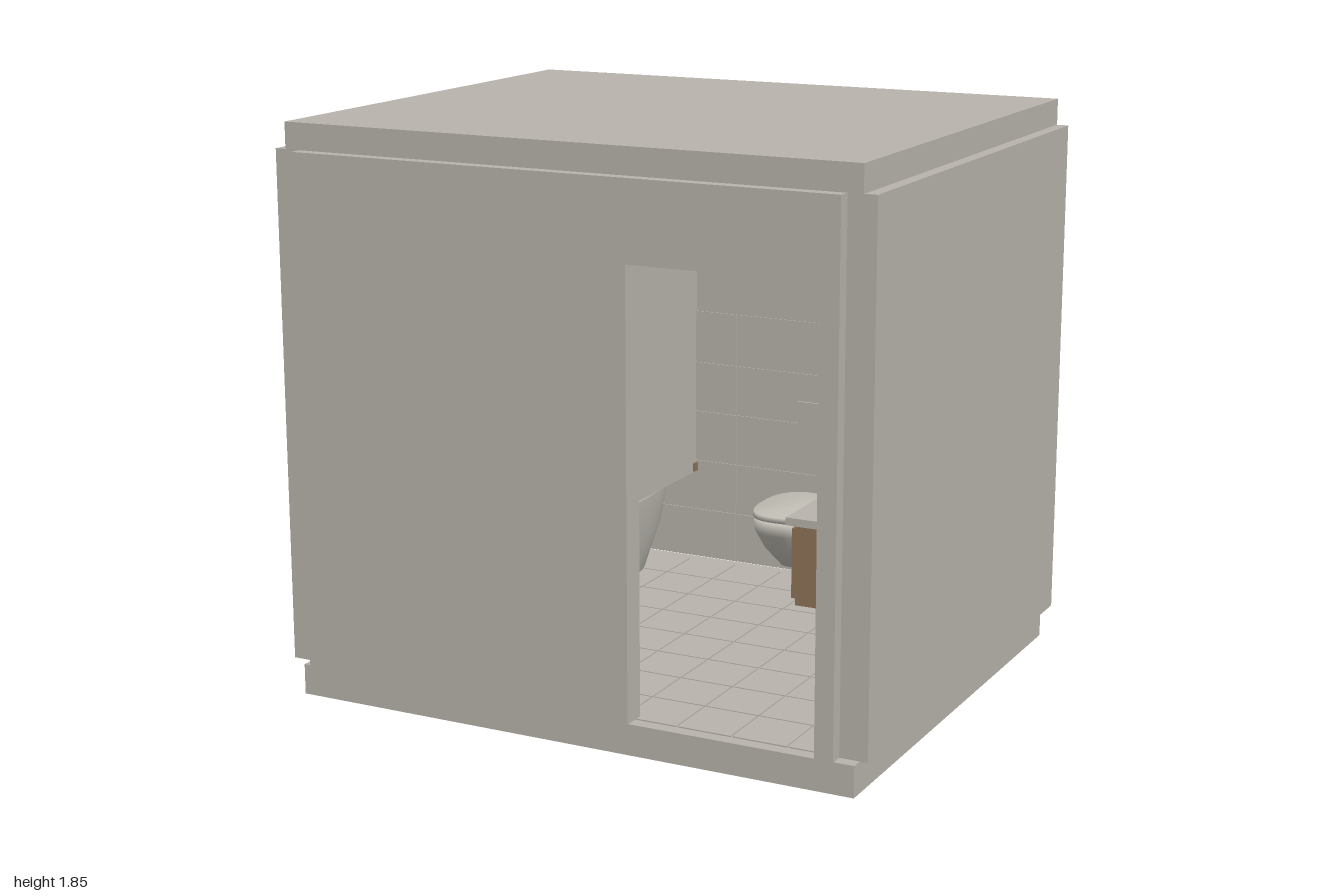
import * as THREE from 'three';

const mat = (name, color, side = THREE.FrontSide) => {
  const m = new THREE.MeshStandardMaterial({ color, side });
  m.name = name;
  return m;
};

export function createModel() {
  const concrete = mat('concrete', 0xb8b4ac);
  const porcelain = mat('porcelain', 0xc2bfb6, THREE.DoubleSide);
  const wood = mat('wood', 0x8f7458);
  const root = new THREE.Group();
  root.name = 'bathroomPod';

  const add = (name, geometry, material, parent = root) => {
    const mesh = new THREE.Mesh(geometry, material);
    mesh.name = name;
    parent.add(mesh);
    return mesh;
  };
  // Box given by its minimum and maximum corners
  const box = (name, a, b, material = concrete, parent = root) => {
    const g = new THREE.BoxGeometry(b[0] - a[0], b[1] - a[1], b[2] - a[2]);
    g.translate((a[0] + b[0]) / 2, (a[1] + b[1]) / 2, (a[2] + b[2]) / 2);
    return add(name, g, material, parent);
  };
  const group = (name) => {
    const g = new THREE.Group();
    g.name = name;
    root.add(g);
    return g;
  };
  // Smooth body through rounded rings [centre x, y, centre z, half width, half depth]
  const loft = (rings, power, n = 48) => {
    const pos = [], idx = [];
    const round = (v) => Math.sign(v) * Math.abs(v) ** (2 / power);
    rings.forEach(([cx, y, cz, w, d], j) => {
      for (let i = 0; i < n; i++) {
        const t = (i / n) * Math.PI * 2;
        pos.push(cx + w * round(Math.cos(t)), y, cz + d * round(Math.sin(t)));
        if (j === rings.length - 1) continue;
        const p = j * n + i, q = j * n + (i + 1) % n;
        idx.push(p, p + n, q, q, p + n, q + n);
      }
    });
    const g = new THREE.BufferGeometry();
    g.setAttribute('position', new THREE.Float32BufferAttribute(pos, 3));
    g.setIndex(idx);
    g.computeVertexNormals();
    return g;
  };
  const outline = (points) => new THREE.Shape(points.map(([x, y]) => new THREE.Vector2(x, y)));
  const rect = (x0, y0, x1, y1) => [[x0, y0], [x1, y0], [x1, y1], [x0, y1]];

  // Slabs and side walls
  const y0 = 0.115, y1 = 1.765, inZ = 0.77, inX = 0.91;
  box('baseSlab', [-0.96, 0, -0.81], [0.96, 0.1, 0.81]);
  box('roofSlab', [-0.96, y1, -0.81], [0.96, 1.85, 0.81]);
  for (const [s, name] of [[1, 'leftWall'], [-1, 'rightWall']]) {
    box(name, [s > 0 ? inX : -1, y0, -0.805], [s > 0 ? 1 : -inX, y1, 0.805]);
  }

  // Front wall with doorway
  const front = outline([[-inX, y0], [0.24, y0], [0.24, 1.515], [0.85, 1.515],
    [0.85, y0], [inX, y0], [inX, y1], [-inX, y1]]);
  const wallDepth = { depth: 0.08, bevelEnabled: false };
  add('frontWall', new THREE.ExtrudeGeometry(front, wallDepth), concrete).position.z = inZ;

  // Back wall with recessed window
  const back = outline(rect(-inX, y0, inX, y1));
  back.holes.push(outline(rect(-0.8, 1.205, -0.07, 1.635)));
  add('backWall', new THREE.ExtrudeGeometry(back, wallDepth), concrete).position.z = -0.85;
  box('windowPane', [-0.8, 1.205, -0.8], [-0.07, 1.635, -0.792]);

  // Thin tiles, with narrow joints, on the back wall and the floor
  const tiles = group('tiles');
  const gap = 0.003;
  const xs = [-inX, -0.55, -0.18, 0.18, 0.55, inX];
  const ys = [y0, 0.297, 0.48, 0.663, 0.843, 1.03, 1.212, 1.395, 1.58, y1];
  for (let i = 0; i < xs.length - 1; i++) {
    for (let j = 0; j < ys.length - 1; j++) {
      const overWindow = xs[i] < -0.07 && ys[j + 1] > 1.205 && ys[j] < 1.635;
      if (!overWindow) {
        box('wallTile', [xs[i] + gap, ys[j] + gap, -inZ],
          [xs[i + 1] - gap, ys[j + 1] - gap, -inZ + 0.004], concrete, tiles);
      }
    }
  }
  const nx = 10, nz = 8;
  for (let i = 0; i < nx; i++) {
    for (let j = 0; j < nz; j++) {
      const x = -0.91 + (i * 1.82) / nx, z = -0.77 + (j * 1.54) / nz;
      box('floorTile', [x + gap, 0.1, z + gap],
        [x + 1.82 / nx - gap, 0.104, z + 1.54 / nz - gap], concrete, tiles);
    }
  }

  // Bathtub along the right wall, with a screen standing on its rim
  const tx = -0.62, tz = -0.16;
  add('bathtub', loft([
    [tx, 0.104, tz, 0.001, 0.001], [tx, 0.104, tz, 0.19, 0.46], [tx, 0.12, tz, 0.205, 0.48],
    [tx, 0.28, tz, 0.25, 0.535], [tx, 0.425, tz, 0.275, 0.56], [tx, 0.435, tz, 0.272, 0.557],
    [tx, 0.435, tz, 0.25, 0.535], [tx, 0.42, tz, 0.245, 0.53], [tx, 0.25, tz, 0.21, 0.49],
    [tx, 0.17, tz, 0.16, 0.42], [tx, 0.16, tz, 0.001, 0.001],
  ], 4, 64), porcelain);
  box('bathScreen', [-0.352, 0.435, -inZ], [-0.343, 1.4, -0.264]);
  box('screenClamp', [-0.36, 0.44, -inZ], [-0.335, 0.47, -0.74], wood);

  // Wall-hung toilet
  const toilet = group('toilet');
  add('toiletBowl', loft([
    [0.13, 0.2, -0.66, 0.001, 0.001], [0.13, 0.2, -0.66, 0.06, 0.11],
    [0.13, 0.27, -0.63, 0.105, 0.145], [0.13, 0.34, -0.6, 0.122, 0.17],
    [0.13, 0.39, -0.595, 0.125, 0.175], [0.13, 0.39, -0.595, 0.001, 0.001],
  ], 2.6), porcelain, toilet);
  add('toiletSeat', loft([
    [0.13, 0.393, -0.595, 0.001, 0.001], [0.13, 0.393, -0.595, 0.127, 0.175],
    [0.13, 0.412, -0.595, 0.125, 0.173], [0.13, 0.415, -0.595, 0.001, 0.001],
  ], 2.6), porcelain, toilet);
  box('flushPlate', [0.06, 0.66, -0.766], [0.2, 0.74, -0.758], concrete, toilet);

  // Paper roll on the back wall
  const roll = new THREE.CylinderGeometry(0.03, 0.03, 0.07, 32).rotateX(Math.PI / 2);
  add('paperRoll', roll, concrete).position.set(0.425, 0.53, -0.73);

  // Vanity with basin and wall tap
  const vanity = group('vanity');
  box('cabinet', [0.545, 0.38, -0.32], [inX, 0.64, 0.32], wood, vanity);
  for (const z of [-0.315, 0.005]) {
    box('drawerFront', [0.53, 0.4, z], [0.545, 0.625, z + 0.31], wood, vanity);
  }
  box('countertop', [0.52, 0.64, -0.34], [inX, 0.665, 0.34], concrete, vanity);
  const bowl = [[0.001, 0], [0.065, 0], [0.09, 0.02], [0.11, 0.05], [0.123, 0.085],
    [0.116, 0.085], [0.1, 0.045], [0.07, 0.015], [0.001, 0.01]];
  add('basin', new THREE.LatheGeometry(bowl.map(([r, y]) => new THREE.Vector2(r, y)), 40),
    porcelain, vanity).position.set(0.683, 0.665, 0);
  box('tapArm', [0.697, 0.812, -0.012], [inX, 0.826, 0.012], wood, vanity);
  box('tapSpout', [0.697, 0.795, -0.012], [0.709, 0.812, 0.012], wood, vanity);
  box('mirror', [0.9, 0.92, -0.3], [0.909, 1.45, 0.3], concrete, vanity);

  // Towel over a short rail near the door
  const rail = new THREE.CylinderGeometry(0.005, 0.005, 0.21, 12).rotateZ(Math.PI / 2);
  add('towelRail', rail, concrete).position.set(0.805, 0.753, 0.44);
  for (const z of [0.427, 0.445]) box('towel', [0.705, 0.6, z], [0.78, 0.752, z + 0.008], porcelain);
  box('towelFold', [0.705, 0.752, 0.427], [0.78, 0.76, 0.453], porcelain);

  return root;
}
